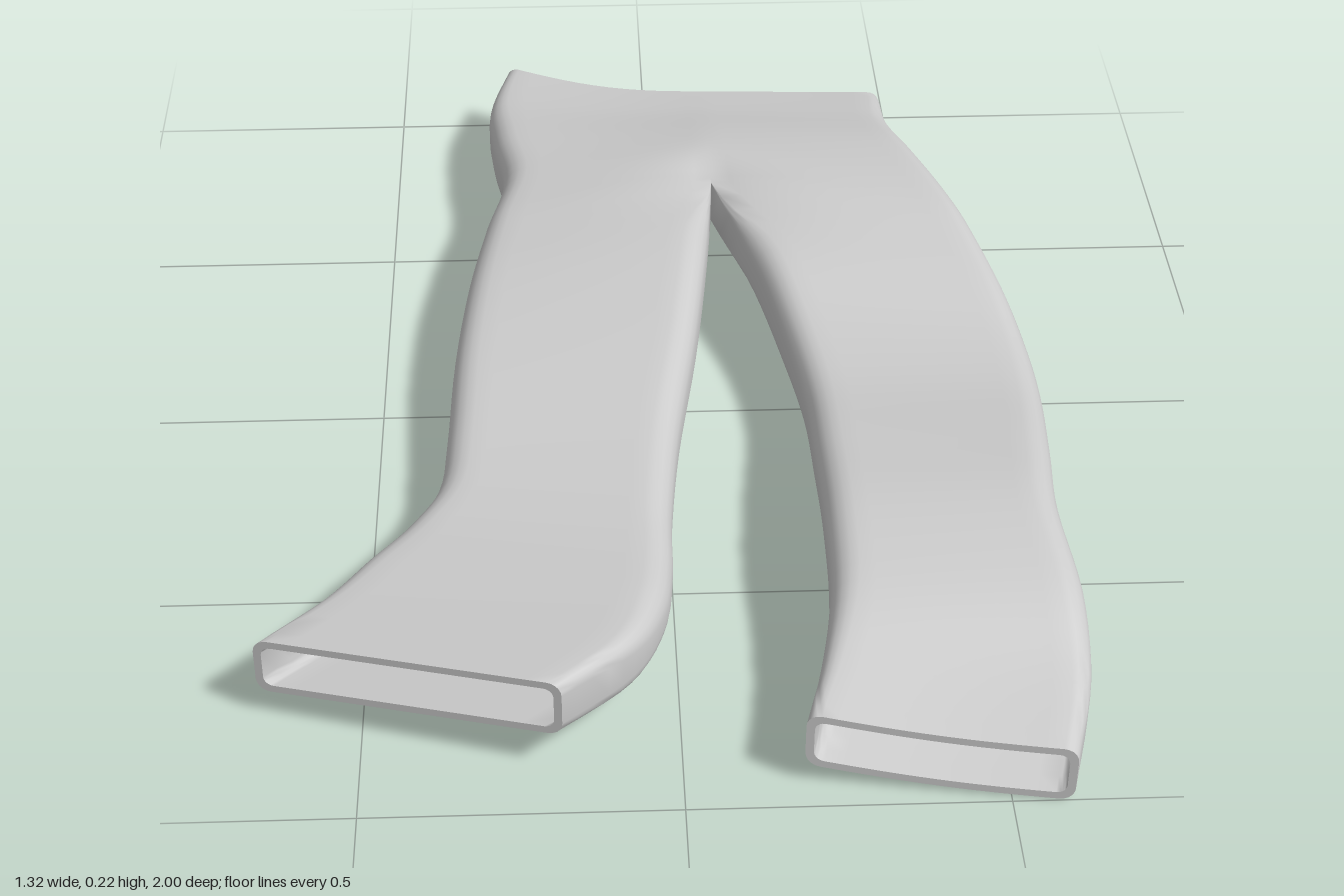
import * as THREE from 'three';
import { mergeGeometries, toCreasedNormals } from 'three/addons/utils/BufferGeometryUtils.js';

const ROWS = 60, CROTCH = 1 / 3, WALL = 0.013, ARC = 5, SPAN = 12;
const { lerp, smoothstep, clamp } = THREE.MathUtils;
const curve = (pts) =>
  new THREE.CatmullRomCurve3(pts.map((p) => new THREE.Vector3(...p)), false, 'catmullrom', 0.5);

// centre seam shared by both halves, from waist to crotch
const seamPts = [[0.11, 0.092, -0.885], [0.11, 0.112, -0.77], [0.11, 0.138, -0.65],
  [0.11, 0.158, -0.54], [0.11, 0.168, -0.445]];
const seam = curve(seamPts);

// half the height of the cloth tube, from waist to hem
const heights = [0.056, 0.06, 0.067, 0.073, 0.076, 0.074, 0.068, 0.063, 0.06, 0.058, 0.058, 0.055, 0.052];
function halfHeight(t) {
  const f = t * (heights.length - 1), i = Math.min(Math.floor(f), heights.length - 2);
  return lerp(heights[i], heights[i + 1], f - i);
}

// one rounded, flattened cross-section; the seam side stays open above the crotch
function section(leg, t, inset) {
  const round = smoothstep(t, CROTCH, CROTCH + 0.08);
  const a = leg.outer.getPoint(t);
  const b = t <= CROTCH ? seam.getPoint(t / CROTCH) : leg.inner.getPoint((t - CROTCH) / (1 - CROTCH));
  const width = a.distanceTo(b);
  const h = halfHeight(t) - inset;
  const r = lerp(0.047, 0.024, Math.max(smoothstep(t, 0.8, 1), smoothstep(-t, -0.15, 0))) - inset * 0.6;
  const s0 = inset / width, s1 = 1 - (inset * round) / width;
  const pinch = 0.45 * Math.exp(-(((t - CROTCH) / 0.075) ** 2));
  const half = [];
  for (let i = 0; i <= ARC; i++) {
    const q = (i / ARC) * Math.PI / 2;
    half.push([s0 + (r / width) * (1 - Math.cos(q)), h - r * (1 - Math.sin(q))]);
  }
  const start = s0 + r / width, end = s1 - (r * round) / width;
  for (let i = 1; i < SPAN; i++) half.push([lerp(start, end, i / SPAN), h]);
  for (let i = 0; i <= ARC; i++) {
    const q = (i / ARC) * Math.PI / 2;
    half.push([end + (r * round / width) * Math.sin(q), h - r * round * (1 - Math.cos(q))]);
  }
  const ring = [...half, ...half.slice().reverse().map(([s, y]) => [s, -y])];
  return ring.map(([s, y]) => {
    const p = a.clone().lerp(b, s), arch = Math.sin(Math.PI * clamp(s, 0, 1));
    p.y += y * (1 - pinch * clamp(s, 0, 1) ** 5) - leg.sag * arch * smoothstep(t, 0.8, 1);
    p.z += leg.bow * arch * Math.max(0, 1 - t / CROTCH);
    return p;
  });
}

// loft down the outside, over the hem, up the lining and over the waist edge
function trouserHalf(leg) {
  const ts = Array.from({ length: ROWS + 1 }, (_, i) => i / ROWS);
  const stops = [...ts.map((t) => [t, 0]), ...ts.slice().reverse().map((t) => [t, WALL]), [0, 0]];
  const rings = stops.map(([t, inset]) => section(leg, t, inset));
  const n = rings[0].length, index = [];
  for (let i = 0; i < rings.length - 1; i++) {
    const aboveCrotch = Math.min(stops[i][0], stops[i + 1][0]) < CROTCH - 1e-6;
    for (let j = 0; j < n; j++) {
      if (aboveCrotch && j === n / 2 - 1) continue;
      const k = (j + 1) % n;
      const a = i * n + j, b = i * n + k, c = (i + 1) * n + k, d = (i + 1) * n + j;
      if (leg.flip) index.push(a, b, d, b, c, d);
      else index.push(a, d, b, b, d, c);
    }
  }
  const geo = new THREE.BufferGeometry().setFromPoints(rings.flat());
  geo.setIndex(index);
  return geo;
}

export function createModel() {
  const group = new THREE.Group();
  group.name = 'trousers';
  const crotch = seamPts[4];

  const rightLeg = {
    flip: false, bow: 0.03, sag: 0,
    outer: curve([[-0.28, 0.09, -1], [-0.314, 0.1, -0.84], [-0.307, 0.11, -0.7], [-0.285, 0.116, -0.54],
      [-0.315, 0.116, -0.38], [-0.345, 0.112, -0.2], [-0.367, 0.1, 0], [-0.377, 0.083, 0.2],
      [-0.39, 0.073, 0.33], [-0.44, 0.072, 0.43], [-0.5, 0.078, 0.52], [-0.57, 0.09, 0.64], [-0.665, 0.107, 0.76]]),
    inner: curve([crotch, [0.092, 0.162, -0.25], [0.062, 0.13, -0.02], [0.022, 0.097, 0.22], [0.002, 0.085, 0.42],
      [-0.002, 0.088, 0.55], [-0.018, 0.1, 0.67], [-0.07, 0.117, 0.79], [-0.185, 0.135, 0.91]]),
  };
  const leftLeg = {
    flip: true, bow: 0, sag: 0.008,
    outer: curve([[0.474, 0.085, -0.88], [0.478, 0.11, -0.75], [0.507, 0.14, -0.6], [0.547, 0.148, -0.45],
      [0.584, 0.142, -0.32], [0.629, 0.115, -0.15], [0.654, 0.095, 0], [0.658, 0.103, 0.15],
      [0.642, 0.14, 0.35], [0.628, 0.16, 0.52], [0.643, 0.138, 0.7], [0.635, 0.09, 0.85], [0.595, 0.058, 1]]),
    inner: curve([crotch, [0.178, 0.148, -0.22], [0.219, 0.115, -0.05], [0.243, 0.112, 0.13], [0.245, 0.14, 0.33],
      [0.245, 0.16, 0.52], [0.24, 0.145, 0.7], [0.215, 0.115, 0.84], [0.185, 0.095, 0.945]]),
  };

  // both halves share one smooth skin across the seam
  const geo = toCreasedNormals(mergeGeometries([trouserHalf(rightLeg), trouserHalf(leftLeg)]), 0.9);
  const cloth = new THREE.Mesh(geo, new THREE.MeshStandardMaterial({ color: 0xcccccc }));
  cloth.name = 'trouserCloth';
  group.add(cloth);
  return group;
}
